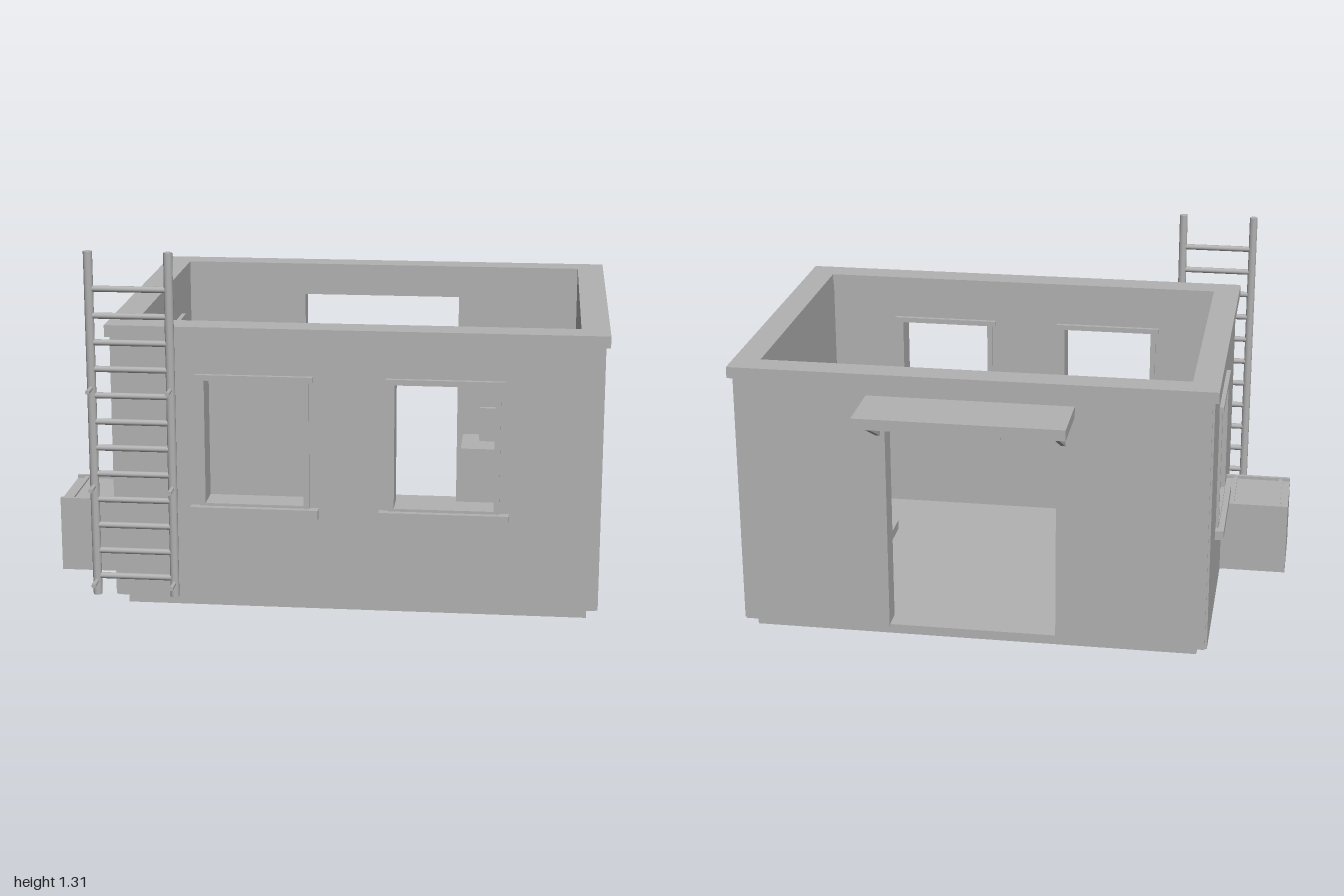
import * as THREE from 'three';

export function createModel() {
  const model = new THREE.Group();
  model.name = 'guardHouse';
  const grey = new THREE.MeshStandardMaterial({ color: 0xb2b2b2 });
  grey.name = 'plain grey';

  const add = (name, geometry, parent = model) => {
    const mesh = new THREE.Mesh(geometry, grey);
    mesh.name = name;
    parent.add(mesh);
    return mesh;
  };
  // Box given by its limits on each axis
  const box = (name, x0, x1, y0, y1, z0, z1, parent) => {
    const g = new THREE.BoxGeometry(x1 - x0, y1 - y0, z1 - z0);
    g.translate((x0 + x1) / 2, (y0 + y1) / 2, (z0 + z1) / 2);
    return add(name, g, parent);
  };
  // Round bar between two points
  const bar = (name, a, b, r, parent, sides = 10) => {
    const from = new THREE.Vector3(...a), to = new THREE.Vector3(...b);
    const dir = to.clone().sub(from);
    const mesh = add(name, new THREE.CylinderGeometry(r, r, dir.length(), sides), parent);
    mesh.position.copy(from).add(to).multiplyScalar(0.5);
    mesh.quaternion.setFromUnitVectors(new THREE.Vector3(0, 1, 0), dir.normalize());
    return mesh;
  };
  const rect = (x0, x1, y0, y1, Type = THREE.Shape) => new Type([
    [x0, y0], [x1, y0], [x1, y1], [x0, y1]].map(p => new THREE.Vector2(...p)));
  // Plate with rectangular holes, running from z0 to z1
  const plate = (name, outline, holes, z0, z1, parent) => {
    const shape = rect(...outline);
    for (const h of holes) shape.holes.push(rect(...h, THREE.Path));
    const g = new THREE.ExtrudeGeometry(shape, { depth: z1 - z0, bevelEnabled: false });
    g.translate(0, 0, z0);
    return add(name, g, parent);
  };

  // Walls: outer face at local z = 0, with framed windows
  const T = 0.085, BOTTOM = 0.04, TOP = 1.0;
  const wall = (name, x0, x1, windows) => {
    const group = new THREE.Group();
    group.name = name;
    model.add(group);
    const hole = c => [c - 0.175, c + 0.175, 0.4, 0.85];
    plate(name + 'Panel', [x0, x1, BOTTOM, TOP], windows.map(hole), -T, 0, group);
    for (const c of windows) {
      plate('windowFrame', [c - 0.195, c + 0.195, 0.385, 0.86], [hole(c)], -T - 0.011, 0.011, group);
      for (const [z0, z1] of [[-T - 0.016, -T + 0.01], [-0.01, 0.016]])
        box('windowLintel', c - 0.208, c + 0.208, 0.85, 0.87, z0, z1, group);
      box('windowSill', c - 0.228, c + 0.228, 0.355, 0.39, -T - 0.03, 0.032, group);
    }
    return group;
  };
  wall('frontWall', -0.737, 0.977, [-0.235, 0.435]).position.z = 0.685;
  const leftEnd = wall('windowSideWall', -0.567, 0.677, [-0.07]);
  leftEnd.rotation.y = -Math.PI / 2;
  leftEnd.position.x = -0.745;
  box('plainSideWall', 0.9, 0.985, BOTTOM, TOP, -0.567, 0.677);

  // Back wall with a doorway
  box('backWall', -0.737, -0.19, BOTTOM, TOP, -0.575, -0.49);
  box('backWall', 0.43, 0.977, BOTTOM, TOP, -0.575, -0.49);
  box('doorHeader', -0.19, 0.43, 0.915, TOP, -0.575, -0.49);

  // Foundation, floor and wall coping
  box('foundation', -0.705, 0.945, 0, 0.042, -0.535, 0.65);
  box('floor', -0.737, 0.977, BOTTOM, 0.052, -0.567, 0.677);
  const coping = plate('coping', [-0.76, 1.0, -0.695, 0.59], [[-0.66, 0.9, -0.59, 0.49]], 0, 0.042);
  coping.rotation.x = -Math.PI / 2;
  coping.position.y = 0.998;

  // Awning with slanted braces
  box('awning', -0.255, 0.495, 0.915, 0.955, -0.81, -0.57);
  for (const x of [-0.215, 0.455]) {
    const brace = add('awningBrace', new THREE.BoxGeometry(0.016, 0.016, 0.225));
    brace.position.set(x, 0.863, -0.673);
    brace.rotation.x = Math.atan2(0.1, 0.195);
  }

  // Counter with a screen and keyboard
  box('counterBody', 0.475, 0.91, 0.05, 0.315, -0.5, -0.3);
  box('counterTop', 0.455, 0.91, 0.31, 0.345, -0.5, -0.275);
  box('screen', 0.525, 0.7, 0.365, 0.495, -0.365, -0.345);
  box('screenStand', 0.595, 0.63, 0.34, 0.37, -0.365, -0.345);
  box('keyboard', 0.525, 0.695, 0.34, 0.356, -0.44, -0.39);

  // Outdoor chest with raised rails
  box('chest', -1.0, -0.74, BOTTOM, 0.308, 0.135, 0.44);
  for (const z of [0.135, 0.425]) box('chestRail', -1.0, -0.74, 0.3, 0.32, z, z + 0.015);
  for (const x of [-0.97, -0.79]) box('chestBar', x, x + 0.015, 0.3, 0.316, 0.15, 0.425);

  // Ladder
  const ladder = new THREE.Group();
  ladder.name = 'ladder';
  model.add(ladder);
  const Z = 0.737;
  for (const x of [-0.8, -0.52]) {
    bar('ladderRail', [x, 0.06, Z], [x, 1.31, Z], 0.016, ladder);
    for (const y of [0.113, 0.467, 0.825])
      bar('ladderBracket', [x, y, Z], [x, y, 0.81], 0.008, ladder);
  }
  for (let i = 0; i < 12; i++) {
    const y = 0.13 + i * 0.0953;
    bar('ladderRung', [-0.8, y, Z], [-0.52, y, Z], 0.011, ladder);
  }
  return model;
}
